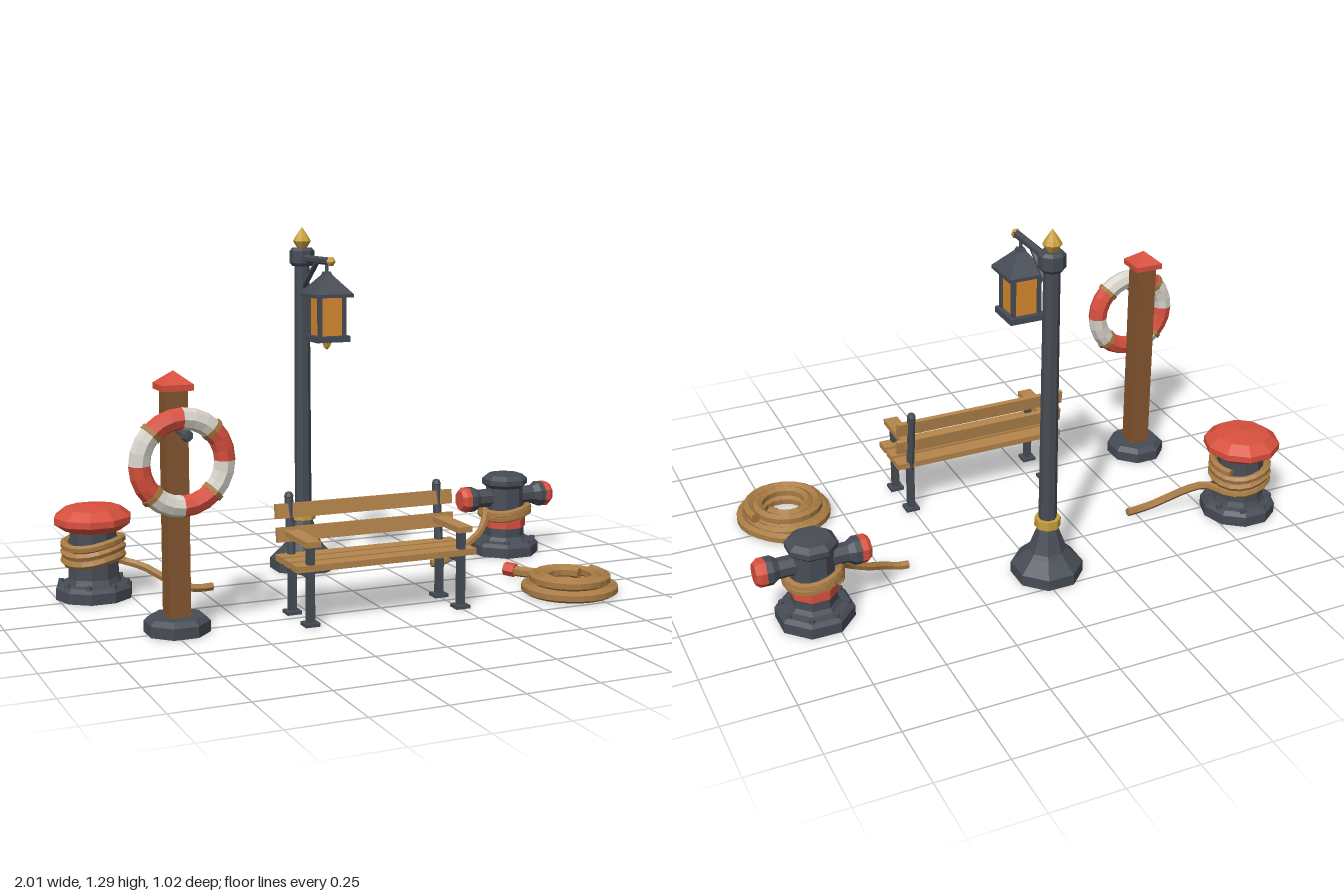
import * as THREE from 'three';

const mat = (name, color) => {
  const m = new THREE.MeshStandardMaterial({ color });
  m.name = name;
  return m;
};

export function createModel() {
  const root = new THREE.Group();
  const iron = mat('iron', 0x474c55), red = mat('red', 0xd8503e), white = mat('white', 0xd9d5cc);
  const timber = mat('timber', 0x85552f), slatWood = mat('slat wood', 0xb5854b), ropeTan = mat('rope', 0xa87b44);
  const brass = mat('brass', 0xc8a03c), glow = mat('lamp glass', 0xd98a2e);
  const V = (x, y, z) => new THREE.Vector3(x, y, z);

  // Faceted mesh with one normal per face
  function add(parent, name, geo, material, x = 0, y = 0, z = 0) {
    const g = geo.index ? geo.toNonIndexed() : geo;
    g.computeVertexNormals();
    const m = new THREE.Mesh(g, material);
    m.name = name;
    m.position.set(x, y, z);
    parent.add(m);
    return m;
  }
  function group(name, x, y, z) {
    const g = new THREE.Group();
    g.name = name;
    g.position.set(x, y, z);
    root.add(g);
    return g;
  }
  const box = (p, n, m, w, h, d, x, y, z) => add(p, n, new THREE.BoxGeometry(w, h, d), m, x, y, z);
  // Turned part; flats face the axes
  const turn = (pts, sides) => new THREE.LatheGeometry(pts.map(q => new THREE.Vector2(...q)), sides, Math.PI / sides);
  // Straight bar between two points
  function bar(p, name, m, a, b, r, sides = 6) {
    const s = add(p, name, new THREE.CylinderGeometry(r, r, a.distanceTo(b), sides), m);
    s.position.copy(a).lerp(b, 0.5);
    s.quaternion.setFromUnitVectors(V(0, 1, 0), b.clone().sub(a).normalize());
    return s;
  }
  // Rope along points, with closed ends
  function rope(p, name, pts, r, steps) {
    const curve = new THREE.CatmullRomCurve3(pts);
    add(p, name, new THREE.TubeGeometry(curve, steps, r, 6), ropeTan);
    for (const t of [0, 1]) {
      const c = add(p, name + 'End', new THREE.CircleGeometry(r, 6), ropeTan);
      const end = curve.getPoint(t);
      c.position.copy(end);
      c.quaternion.setFromUnitVectors(V(0, 0, 1), curve.getTangent(t).multiplyScalar(t ? 1 : -1));
    }
  }
  // Turns around a bollard, ending at angle end
  function windings(r, y0, y1, turns, end, dir) {
    const pts = [], n = turns * 12;
    for (let i = 0; i <= n; i++) {
      const a = end - dir * (n - i) * Math.PI / 6;
      pts.push(V(r * Math.cos(a), y0 + (y1 - y0) * i / n + 0.008 * Math.sin(a * 2), r * Math.sin(a)));
    }
    return pts;
  }
  function bolts(p, r, y, n) {
    for (let i = 0; i < n; i++) {
      const a = (i + 0.5) / n * Math.PI * 2;
      add(p, 'flangeBolt', new THREE.CylinderGeometry(0.01, 0.012, 0.014, 6), iron, r * Math.cos(a), y, r * Math.sin(a));
    }
  }

  // Mushroom bollard
  const mush = group('mushroomBollard', -0.868, 0, -0.307);
  add(mush, 'bollardBody', turn([[0, 0], [0.138, 0], [0.138, 0.038], [0.122, 0.052], [0.1, 0.056], [0.092, 0.075], [0.083, 0.25], [0, 0.25]], 10), iron);
  add(mush, 'bollardCap', turn([[0, 0.243], [0.1, 0.243], [0.138, 0.27], [0.138, 0.293], [0.1, 0.322], [0, 0.333]], 10), red);
  bolts(mush, 0.116, 0.056, 8);
  rope(mush, 'mooringRope', [...windings(0.102, 0.21, 0.125, 3, -0.7, 1),
    V(0.125, 0.115, 0.025), V(0.17, 0.1, 0.052), V(0.235, 0.06, 0.088), V(0.3, 0.028, 0.11), V(0.35, 0.018, 0.115), V(0.405, 0.018, 0.112)], 0.015, 64);

  // Cross bollard
  const cross = group('crossBollard', 0.8, 0, -0.32);
  add(cross, 'bollardBody', turn([[0, 0], [0.136, 0], [0.136, 0.038], [0.122, 0.052], [0.092, 0.056], [0.08, 0.07], [0.072, 0.265], [0, 0.265]], 8), iron);
  add(cross, 'bollardCap', turn([[0, 0.262], [0.072, 0.262], [0.09, 0.277], [0.09, 0.296], [0.07, 0.313], [0, 0.316]], 8), iron);
  add(cross, 'paintedBand', turn([[0.078, 0.105], [0.084, 0.105], [0.083, 0.14], [0.075, 0.14]], 8), red);
  bolts(cross, 0.112, 0.056, 8);
  for (const s of [-1, 1]) {
    const arm = add(cross, 'crossArm', turn([[0, 0], [0.036, 0], [0.036, 0.12], [0.05, 0.142], [0.05, 0.165], [0, 0.165]], 8), iron, 0, 0.222, 0);
    const tip = add(cross, 'crossArmTip', turn([[0, 0.163], [0.05, 0.163], [0.05, 0.185], [0.038, 0.2], [0, 0.2]], 8), red, 0, 0.222, 0);
    arm.rotation.z = tip.rotation.z = -s * Math.PI / 2;
  }
  rope(cross, 'mooringRope', [...windings(0.094, 0.152, 0.186, 2, Math.PI + 0.7, -1),
    V(-0.1, 0.165, 0.03), V(-0.155, 0.11, 0.085), V(-0.23, 0.068, 0.11), V(-0.31, 0.034, 0.137), V(-0.35, 0.02, 0.138), V(-0.39, 0.018, 0.135)], 0.015, 54);

  // Lamp post
  const lamp = group('lampPost', -0.03, 0, -0.396);
  add(lamp, 'lampBase', turn([[0, 0], [0.127, 0], [0.127, 0.04], [0.08, 0.085], [0.068, 0.1], [0.04, 0.175], [0.034, 0.19], [0, 0.19]], 8), iron);
  add(lamp, 'baseRing', turn([[0, 0.19], [0.046, 0.19], [0.046, 0.223], [0, 0.223]], 8), brass);
  add(lamp, 'pole', turn([[0.032, 0.18], [0.028, 1.16]], 8), iron);
  add(lamp, 'collar', turn([[0, 1.148], [0.036, 1.148], [0.046, 1.16], [0.046, 1.205], [0.036, 1.216], [0, 1.216]], 8), iron);
  add(lamp, 'finial', turn([[0, 1.214], [0.018, 1.216], [0.033, 1.24], [0.026, 1.254], [0, 1.292]], 8), brass);
  bar(lamp, 'arm', iron, V(0, 1.177, 0), V(0, 1.177, 0.27), 0.014);
  bar(lamp, 'brace', iron, V(0, 1.075, 0.02), V(0, 1.17, 0.145), 0.01);
  add(lamp, 'armTip', turn([[0, -0.018], [0.013, -0.012], [0.018, 0], [0.006, 0.014], [0, 0.022]], 6), brass, 0, 1.177, 0.276).rotation.x = Math.PI / 2;
  bar(lamp, 'lanternHook', iron, V(0, 1.125, 0.237), V(0, 1.175, 0.237), 0.006);

  // Hanging lantern
  const lantern = group('lantern', -0.03, 0, -0.159);
  add(lantern, 'lanternRoof', turn([[0, 1.05], [0.104, 1.05], [0.104, 1.062], [0.022, 1.128], [0.016, 1.14], [0, 1.14]], 4), iron);
  box(lantern, 'lanternGlass', glow, 0.09, 0.15, 0.09, 0, 0.98, 0);
  box(lantern, 'lanternFloor', iron, 0.128, 0.022, 0.128, 0, 0.901, 0);
  for (const sx of [-1, 1]) for (const sz of [-1, 1])
    box(lantern, 'lanternCorner', iron, 0.014, 0.15, 0.014, sx * 0.047, 0.98, sz * 0.047);
  add(lantern, 'lanternDrop', turn([[0, 0.859], [0.012, 0.868], [0.02, 0.891], [0, 0.891]], 6), brass);

  // Lifebuoy post
  const post = group('lifebuoyPost', -0.732, 0, 0.24);
  add(post, 'postFoot', turn([[0, 0], [0.11, 0], [0.11, 0.038], [0.092, 0.055], [0, 0.055]], 8), iron);
  box(post, 'post', timber, 0.074, 0.76, 0.074, 0, 0.425, 0);
  add(post, 'postCap', turn([[0, 0.8], [0.075, 0.8], [0.075, 0.82], [0, 0.862]], 4), red);
  bar(post, 'peg', iron, V(0, 0.67, 0.03), V(0, 0.67, 0.14), 0.01);
  add(post, 'pegKnob', turn([[0, 0], [0.016, 0], [0.02, 0.007], [0.016, 0.02], [0, 0.022]], 8), iron, 0, 0.67, 0.132).rotation.x = Math.PI / 2;

  // Lifebuoy in eight alternating segments, with four lashings
  const buoy = group('lifebuoy', -0.732, 0.576, 0.325);
  for (let i = 0; i < 8; i++)
    add(buoy, 'buoySegment', new THREE.TorusGeometry(0.142, 0.036, 8, 3, Math.PI / 4), i % 2 ? white : red).rotation.z = i * Math.PI / 4;
  for (let i = 0; i < 4; i++) {
    const a = Math.PI / 4 + i * Math.PI / 2;
    const wrap = add(buoy, 'lashing', new THREE.CylinderGeometry(0.04, 0.04, 0.016, 8), ropeTan, 0.142 * Math.cos(a), 0.142 * Math.sin(a), 0);
    wrap.rotation.z = a;
  }

  // Bench
  const bench = group('bench', -0.027, 0, 0);
  for (const z of [0.2, 0.27, 0.341])
    box(bench, 'seatSlat', slatWood, 0.666, 0.022, 0.056, 0, 0.197, z);
  for (const [y, z] of [[0.276, 0.184], [0.355, 0.172]])
    box(bench, 'backSlat', slatWood, 0.666, 0.05, 0.018, 0, y, z).rotation.x = -0.14;
  for (const s of [-1, 1]) {
    const x = s * 0.28;
    box(bench, 'frontLeg', iron, 0.024, 0.275, 0.026, x, 0.138, 0.354);
    box(bench, 'backLeg', iron, 0.024, 0.2, 0.026, x, 0.1, 0.19);
    bar(bench, 'backPost', iron, V(x, 0.17, 0.188), V(x, 0.405, 0.162), 0.016, 8);
    add(bench, 'backPostTop', new THREE.SphereGeometry(0.017, 8, 4), iron, x, 0.403, 0.163);
    box(bench, 'seatRail', iron, 0.024, 0.024, 0.19, x, 0.174, 0.27);
    box(bench, 'armrest', slatWood, 0.054, 0.02, 0.215, x, 0.281, 0.279);
    for (const z of [0.19, 0.354])
      box(bench, 'footPlate', iron, 0.052, 0.012, 0.05, x, 0.006, z);
  }

  // Coiled rope: a lower spiral with its tail, and a smaller spiral on top
  const coil = group('ropeCoil', 0.7, 0, 0.326);
  const spiral = (r0, r1, y, turns, start) => Array.from({ length: turns * 14 + 1 }, (_, i) => {
    const t = i / (turns * 14), a = start + t * turns * Math.PI * 2, r = r0 + (r1 - r0) * t;
    return V(r * Math.cos(a), y, r * Math.sin(a));
  });
  const tail = [V(-0.08, 0.026, -0.287), V(-0.045, 0.022, -0.24), V(0.01, 0.02, -0.2), V(0.075, 0.02, -0.165)];
  rope(coil, 'lowerCoil', [...tail, ...spiral(0.17, 0.075, 0.02, 3, -0.75)], 0.02, 64);
  rope(coil, 'upperCoil', spiral(0.142, 0.073, 0.056, 2, -0.4), 0.02, 36);
  bar(coil, 'ropeTip', red, V(-0.064, 0.025, -0.262), V(-0.088, 0.028, -0.298), 0.026, 6);

  return root;
}
